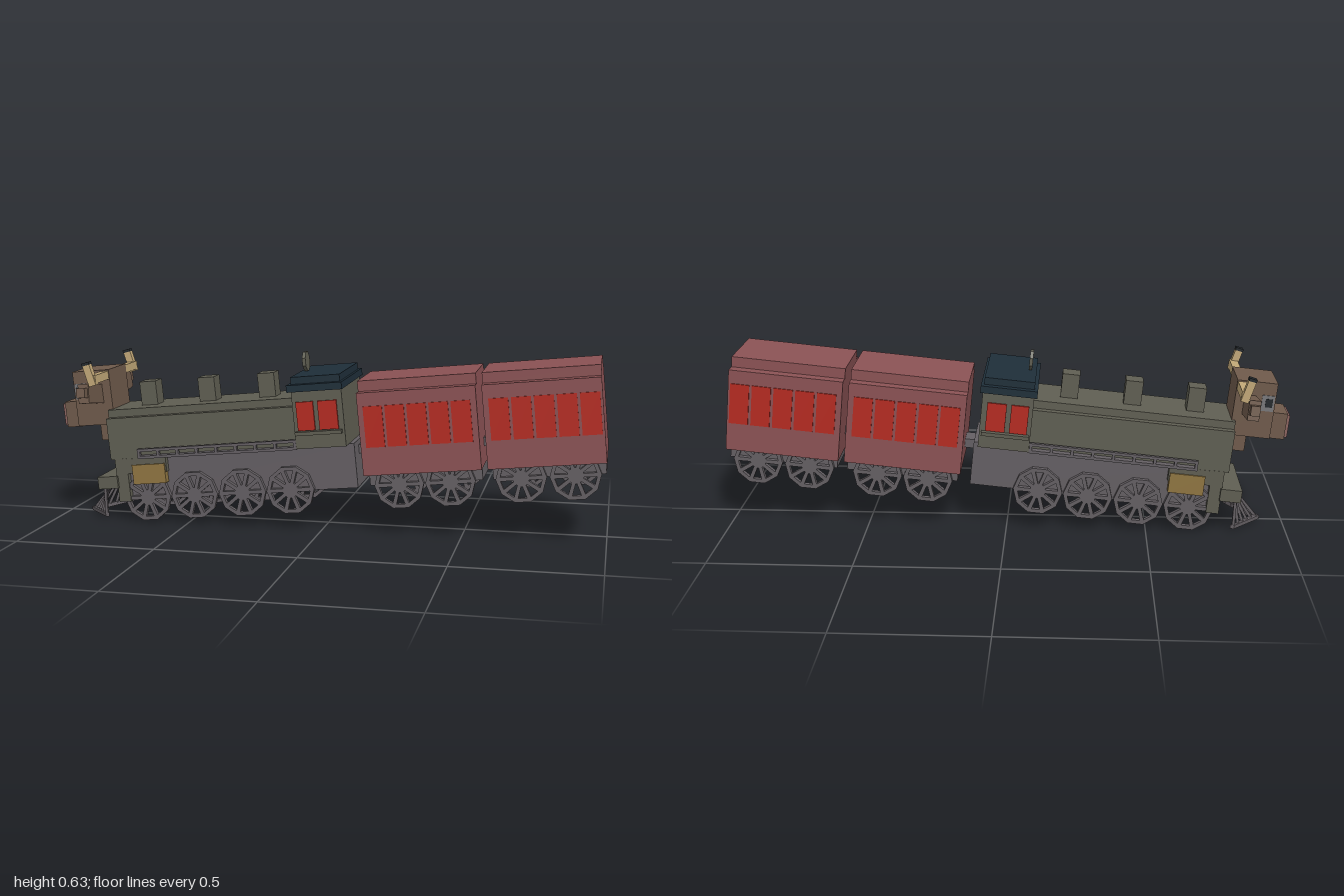
import * as THREE from 'three';

const mat = (color) => new THREE.MeshStandardMaterial({ color, flatShading: true });
const MAT = {
  olive: mat(0x5f5e52), iron: mat(0x645f63), dark: mat(0x23282c), navy: mat(0x1e2e39),
  maroon: mat(0x8b5254), red: mat(0xb52a20), brown: mat(0x6f5a4b), tan: mat(0xc2a878),
  gold: mat(0x8f7541), pink: mat(0x8c6460), grey: mat(0x77777a),
};

// Box given by its limits along the train (x), upwards (y) and across (z)
function box(parent, name, m, x0, x1, y0, y1, z0, z1) {
  const mesh = new THREE.Mesh(new THREE.BoxGeometry(x1 - x0, y1 - y0, z1 - z0), m);
  mesh.position.set((x0 + x1) / 2, (y0 + y1) / 2, (z0 + z1) / 2);
  mesh.name = name;
  parent.add(mesh);
  return mesh;
}
// Box centred across the train
const mid = (parent, name, m, x0, x1, y0, y1, z) => box(parent, name, m, x0, x1, y0, y1, -z, z);
// The same box on both sides
function pair(parent, name, m, x0, x1, y0, y1, z0, z1) {
  box(parent, name, m, x0, x1, y0, y1, z0, z1);
  box(parent, name, m, x0, x1, y0, y1, -z1, -z0);
}
// Square bar between two points
function bar(parent, name, m, a, b, w, d = w) {
  const mesh = new THREE.Mesh(new THREE.BoxGeometry(w, a.distanceTo(b), d), m);
  mesh.position.copy(a).add(b).multiplyScalar(0.5);
  mesh.quaternion.setFromUnitVectors(new THREE.Vector3(0, 1, 0), b.clone().sub(a).normalize());
  mesh.name = name;
  parent.add(mesh);
}

// Ten-sided wheel with wedge openings between the spokes
function wheelGeometry() {
  const n = 10, step = (Math.PI * 2) / n;
  const pt = (r, a) => new THREE.Vector2(r * Math.cos(a), r * Math.sin(a));
  const shape = new THREE.Shape(Array.from({ length: n }, (_, i) => pt(0.088, i * step)));
  for (let i = 0; i < n; i++) {
    const a = i * step;
    shape.holes.push(new THREE.Path([
      pt(0.028, a + 0.24), pt(0.028, a + step - 0.24), pt(0.072, a + step - 0.1), pt(0.072, a + 0.1),
    ]));
  }
  return new THREE.ExtrudeGeometry(shape, { depth: 0.018, bevelEnabled: false });
}

function addWheels(parent, geo, xs) {
  for (const x of xs) for (const z of [0.115, -0.133]) {
    const wheel = new THREE.Mesh(geo, MAT.iron);
    wheel.name = 'wheel';
    wheel.position.set(x, 0.162, z);
    parent.add(wheel);
  }
}

function carriage(x0, x1, wheelGeo, wheels) {
  const g = new THREE.Group();
  g.name = 'carriage';
  mid(g, 'carriageBody', MAT.maroon, x0, x1, 0.207, 0.5, 0.173);
  mid(g, 'carriageRoof', MAT.maroon, x0, x1, 0.5, 0.537, 0.132);
  mid(g, 'carriageChassis', MAT.iron, x0 + 0.01, x1 - 0.005, 0.16, 0.207, 0.115);
  for (let i = 0; i < 5; i++) {
    const x = x0 + 0.02 + i * 0.0765;
    pair(g, 'carriageWindow', MAT.red, x, x + 0.067, 0.307, 0.452, 0.17, 0.177);
  }
  addWheels(g, wheelGeo, wheels);
  return g;
}

function engine(wheelGeo) {
  const g = new THREE.Group();
  g.name = 'engine';
  mid(g, 'chassis', MAT.iron, -0.74, 0.147, 0.155, 0.315, 0.115);
  mid(g, 'boiler', MAT.olive, -0.76, -0.05, 0.31, 0.462, 0.138);
  mid(g, 'boilerTop', MAT.olive, -0.76, -0.05, 0.462, 0.49, 0.11);
  for (const x of [-0.623, -0.398, -0.172]) {
    mid(g, 'chimney', MAT.olive, x - 0.031, x + 0.031, 0.485, 0.577, 0.035);
  }

  // Running boards with slotted railing
  pair(g, 'runningBoard', MAT.iron, -0.645, -0.05, 0.312, 0.322, 0.11, 0.166);
  pair(g, 'railing', MAT.iron, -0.645, -0.05, 0.338, 0.348, 0.152, 0.166);
  for (let i = 0; i < 9; i++) {
    const x = -0.645 + i * 0.073;
    pair(g, 'railPost', MAT.iron, x, x + 0.01, 0.322, 0.338, 0.152, 0.166);
  }

  // Cab
  mid(g, 'cab', MAT.olive, -0.05, 0.13, 0.315, 0.525, 0.167);
  for (const [a, b] of [[-0.036, 0.026], [0.042, 0.11]]) {
    pair(g, 'cabWindow', MAT.red, a, b, 0.38, 0.482, 0.16, 0.174);
  }
  pair(g, 'windowSill', MAT.olive, -0.045, 0.122, 0.365, 0.378, 0.16, 0.19);
  mid(g, 'cabRoofLip', MAT.navy, -0.06, 0.138, 0.52, 0.545, 0.19);
  mid(g, 'cabRoof', MAT.navy, -0.048, 0.128, 0.545, 0.57, 0.165);
  const bell = new THREE.Mesh(new THREE.CylinderGeometry(0.037, 0.037, 0.012, 8), MAT.olive);
  bell.name = 'roofDisc';
  bell.rotation.set(Math.PI / 8, 0, Math.PI / 2, 'XZY');
  bell.position.set(-0.025, 0.606, 0);
  g.add(bell);

  // Front box, cylinders and buffer beam
  mid(g, 'frontBox', MAT.olive, -0.745, -0.7, 0.152, 0.312, 0.139);
  mid(g, 'cylinderBacking', MAT.olive, -0.7, -0.55, 0.255, 0.31, 0.139);
  pair(g, 'cylinderBlock', MAT.gold, -0.68, -0.555, 0.215, 0.287, 0.11, 0.145);
  mid(g, 'bufferBeam', MAT.olive, -0.816, -0.74, 0.205, 0.25, 0.15);

  // Pointed track guard
  const wedge = new THREE.Shape([
    new THREE.Vector2(-0.81, -0.13), new THREE.Vector2(-0.795, -0.13),
    new THREE.Vector2(-0.89, 0), new THREE.Vector2(-0.795, 0.13),
    new THREE.Vector2(-0.81, 0.13), new THREE.Vector2(-0.915, 0),
  ]);
  const plate = new THREE.Mesh(
    new THREE.ExtrudeGeometry(wedge, { depth: 0.014, bevelEnabled: false }), MAT.iron);
  plate.name = 'guardPlate';
  plate.rotation.x = Math.PI / 2;
  plate.position.y = 0.112;
  g.add(plate);
  for (let i = -5; i <= 5; i++) {
    const z = i * 0.0245;
    const x = -0.905 + Math.abs(z) * 0.8;
    bar(g, 'guardBar', MAT.iron, new THREE.Vector3(x, 0.104, z), new THREE.Vector3(-0.8, 0.21, z), 0.01);
  }
  addWheels(g, wheelGeo, [-0.636, -0.457, -0.276, -0.097]);
  return g;
}

// Horned animal head on the front of the boiler
function animalHead() {
  const g = new THREE.Group();
  g.name = 'animalHead';
  mid(g, 'skull', MAT.brown, -0.89, -0.748, 0.435, 0.637, 0.088);
  mid(g, 'neck', MAT.brown, -0.81, -0.755, 0.375, 0.44, 0.075);
  mid(g, 'snout', MAT.brown, -0.945, -0.885, 0.43, 0.525, 0.062);
  mid(g, 'nose', MAT.pink, -0.955, -0.94, 0.437, 0.518, 0.056);
  pair(g, 'nostril', MAT.dark, -0.958, -0.945, 0.475, 0.498, 0.02, 0.04);
  pair(g, 'eye', MAT.grey, -0.886, -0.842, 0.535, 0.592, 0.08, 0.091);
  pair(g, 'pupil', MAT.dark, -0.88, -0.855, 0.55, 0.58, 0.085, 0.093);
  for (const s of [1, -1]) {
    const ear = new THREE.Group();
    ear.name = 'ear';
    ear.position.set(-0.8, 0.555, s * 0.08);
    ear.rotation.x = -s * 0.14;
    const z = (a, b) => (s > 0 ? [a, b] : [-b, -a]);
    box(ear, 'earBase', MAT.brown, -0.02, 0.02, -0.04, 0.03, ...z(0, 0.14));
    box(ear, 'earTip', MAT.brown, -0.016, 0.016, -0.02, 0.015, ...z(0.14, 0.168));
    g.add(ear);

    box(g, 'hornBase', MAT.tan, -0.78, -0.75, 0.602, 0.632, ...z(0.08, 0.215));
    const zc = s * 0.207;
    bar(g, 'horn', MAT.tan, new THREE.Vector3(-0.762, 0.595, zc), new THREE.Vector3(-0.779, 0.67, zc), 0.027, 0.025);
    bar(g, 'hornTip', MAT.dark, new THREE.Vector3(-0.779, 0.67, zc), new THREE.Vector3(-0.781, 0.68, zc), 0.028, 0.026);
  }
  return g;
}

export function createModel() {
  const model = new THREE.Group();
  model.name = 'train';
  const wheelGeo = wheelGeometry();

  // The whole train climbs gently towards +x
  const train = new THREE.Group();
  train.name = 'tiltedTrain';
  train.rotation.z = 0.0977;
  train.add(
    engine(wheelGeo), animalHead(),
    carriage(0.182, 0.596, wheelGeo, [0.298, 0.479]),
    carriage(0.617, 1.018, wheelGeo, [0.724, 0.909]),
  );
  mid(train, 'coupling', MAT.iron, 0.14, 0.19, 0.265, 0.297, 0.04);
  mid(train, 'coupling', MAT.iron, 0.59, 0.622, 0.265, 0.297, 0.04);
  model.add(train);
  return model;
}
